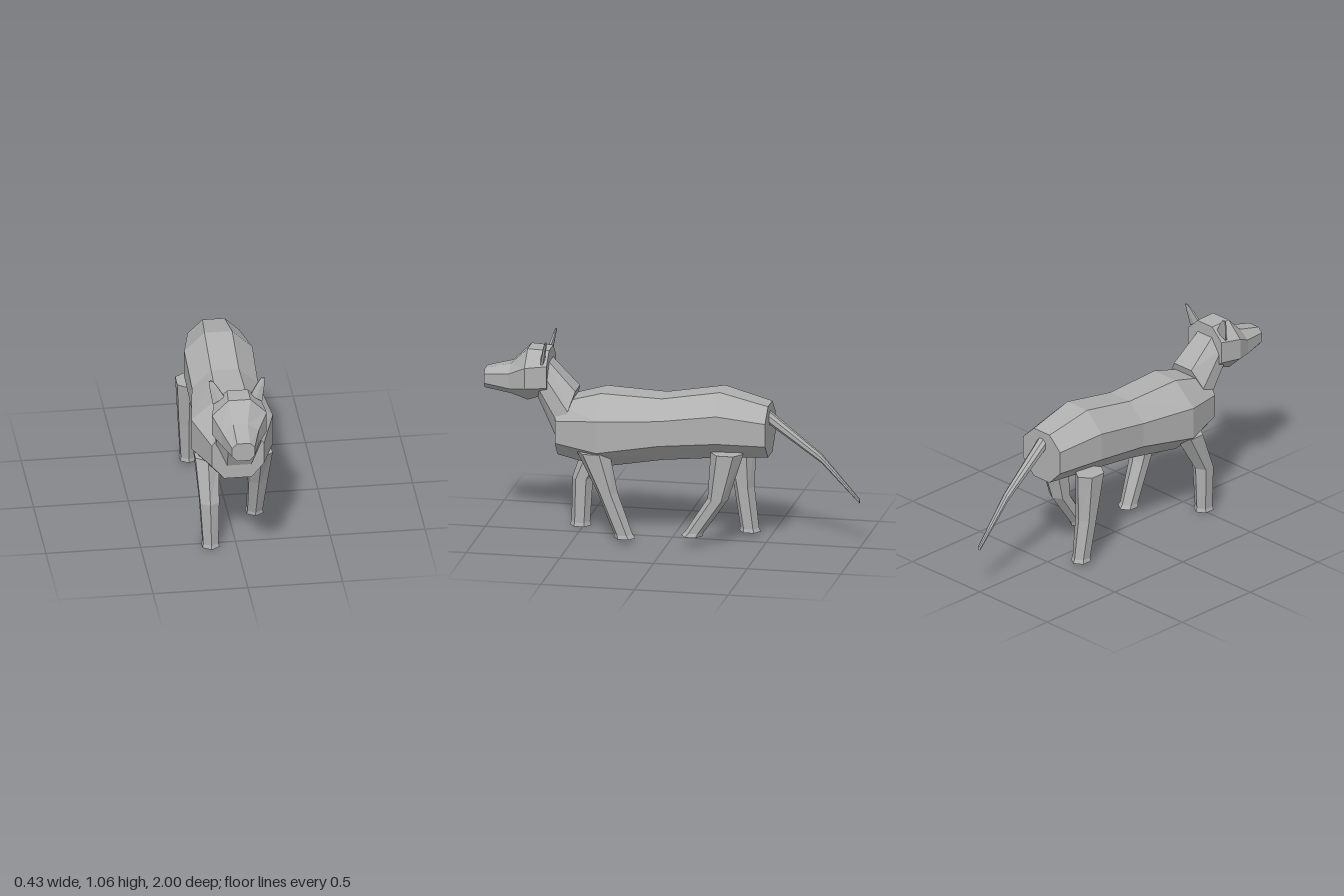
import * as THREE from 'three';

const grey = new THREE.MeshStandardMaterial({ color: 0xb0b0b0, flatShading: true });
grey.name = 'plain grey';

// Octagonal ring facing +z; the four heights run bottom to top, zTop leans it.
function octagon(z, cx, side, flat, [y0, y1, y2, y3], zTop = z) {
  const at = (x, y) => [cx + x, y, z + (zTop - z) * (y - y0) / (y3 - y0)];
  return [at(-flat, y0), at(flat, y0), at(side, y1), at(side, y2),
    at(flat, y3), at(-flat, y3), at(-side, y2), at(-side, y1)];
}

// Horizontal hexagonal ring with corners pointing along z.
function hexagon(cx, y, cz, hx, hz, tilt = 0) {
  return Array.from({ length: 6 }, (_, i) => {
    const a = Math.PI / 2 + i * Math.PI / 3;
    const x = Math.cos(a) / 0.866 * hx;
    return [cx + x, y + x * tilt, cz - Math.sin(a) * hz];
  });
}

// Closed skin through a list of rings.
function loft(name, rings) {
  const pos = [];
  const tri = (a, b, c) => pos.push(...a, ...b, ...c);
  const n = rings[0].length;
  for (let r = 0; r < rings.length - 1; r++) {
    const a = rings[r], b = rings[r + 1];
    for (let i = 0; i < n; i++) {
      const j = (i + 1) % n;
      tri(a[i], a[j], b[j]);
      tri(a[i], b[j], b[i]);
    }
  }
  const first = rings[0], last = rings[rings.length - 1];
  for (let i = 1; i < n - 1; i++) {
    tri(first[0], first[i + 1], first[i]);
    tri(last[0], last[i], last[i + 1]);
  }
  const geo = new THREE.BufferGeometry();
  geo.setAttribute('position', new THREE.Float32BufferAttribute(pos, 3));
  geo.computeVertexNormals();
  const mesh = new THREE.Mesh(geo, grey);
  mesh.name = name;
  return mesh;
}

// Leg: flared foot, ankle, knee and hip, given as z positions and heights.
function leg(name, side, foot, knee, hip) {
  const [fz, fy] = foot, [kz, ky] = knee, [hz, hy] = hip;
  const t = 0.02 / (ky - fy);
  return loft(name, [
    hexagon(side * 0.135, fy, fz, 0.045, 0.057),
    hexagon(side * 0.135, fy + 0.02, fz + (kz - fz) * t, 0.04, 0.05),
    hexagon(side * 0.14, ky, kz, 0.05, 0.055),
    hexagon(side * 0.142, hy, hz, 0.062, 0.088),
  ]);
}

export function createModel() {
  const model = new THREE.Group();
  model.name = 'animal';

  // Trunk, rump to chest
  model.add(loft('body', [
    octagon(-0.525, 0.018, 0.137, 0.058, [0.487, 0.567, 0.69, 0.765]),
    octagon(-0.27, 0.01, 0.18, 0.073, [0.475, 0.577, 0.727, 0.829]),
    octagon(0.04, 0.005, 0.175, 0.073, [0.443, 0.545, 0.68, 0.775]),
    octagon(0.365, 0, 0.215, 0.08, [0.387, 0.497, 0.67, 0.786]),
    octagon(0.6, 0, 0.138, 0.073, [0.44, 0.517, 0.638, 0.72]),
  ]));

  // Neck, leaning forward
  model.add(loft('neck', [
    octagon(0.592, 0.008, 0.125, 0.064, [0.5, 0.59, 0.69, 0.785], 0.505),
    octagon(0.71, -0.01, 0.105, 0.052, [0.735, 0.79, 0.87, 0.93], 0.65),
  ]));

  // Head, nape to nose
  model.add(loft('head', [
    octagon(0.65, -0.01, 0.125, 0.055, [0.757, 0.807, 0.925, 0.993]),
    octagon(0.765, -0.014, 0.144, 0.058, [0.72, 0.8, 0.913, 0.997]),
    octagon(0.86, -0.021, 0.097, 0.038, [0.742, 0.782, 0.862, 0.904]),
    octagon(1, -0.023, 0.06, 0.034, [0.764, 0.793, 0.842, 0.867]),
  ]));

  // Ears
  for (const s of [-1, 1]) {
    const cx = -0.013;
    model.add(loft(s > 0 ? 'leftEar' : 'rightEar', [
      hexagon(cx + s * 0.1, 0.955, 0.675, 0.03, 0.012, -s * 0.7),
      hexagon(cx + s * 0.125, 1.025, 0.66, 0.019, 0.009, -s * 0.3),
      hexagon(cx + s * 0.138, 1.058, 0.652, 0.01, 0.005),
    ]));
  }

  // Tail, tip to root
  const tail = [[-1, 0.003, 0.256, 0.01, 0.011], [-0.8, 0.008, 0.478, 0.019, 0.022], [-0.515, 0.02, 0.697, 0.031, 0.035]];
  model.add(loft('tail', tail.map(([z, x, y, w, h]) =>
    octagon(z, x, w, w * 0.45, [y - h, y - h * 0.45, y + h * 0.45, y + h]))));

  // Legs in mid stride
  model.add(
    leg('frontLeftLeg', 1, [0.228, 0.025], [0.32, 0.27], [0.395, 0.485]),
    leg('frontRightLeg', -1, [0.518, 0.002], [0.508, 0.26], [0.4, 0.485]),
    leg('hindLeftLeg', 1, [-0.13, 0.057], [-0.27, 0.265], [-0.32, 0.518]),
    leg('hindRightLeg', -1, [-0.387, 0.02], [-0.355, 0.26], [-0.33, 0.518]),
  );
  return model;
}
